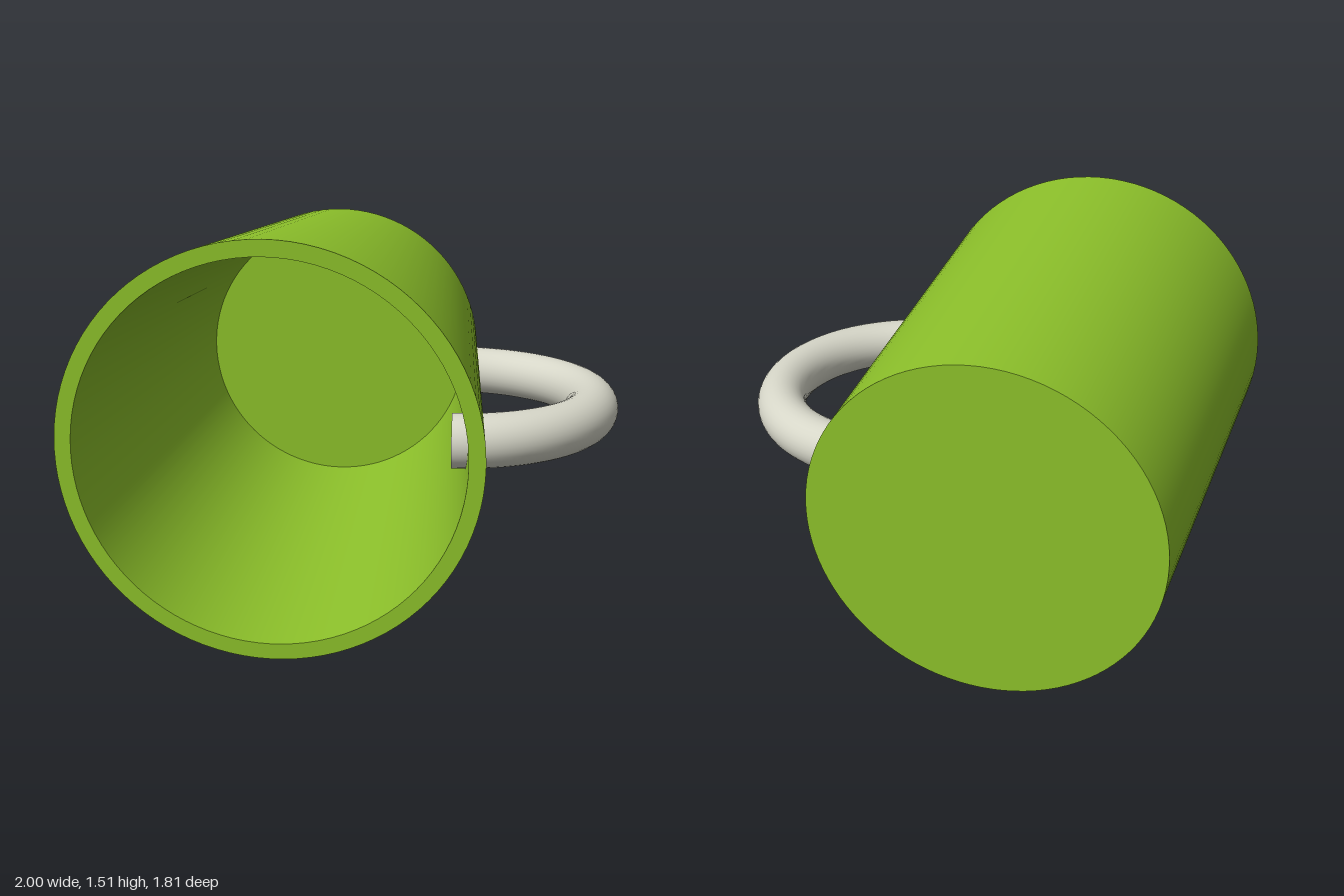
import * as THREE from 'three';
import { toCreasedNormals } from 'three/addons/utils/BufferGeometryUtils.js';

export function createModel() {
  const model = new THREE.Group();
  const green = new THREE.MeshStandardMaterial({ color: 0x8cc02a });
  const pale = new THREE.MeshStandardMaterial({ color: 0xd6d6c8 });
  const axisX = -0.247, axisY = 0.755;

  // Tapered hollow cup lying on its side, mouth to +z
  const profile = [
    [0, -0.905], [0.652, -0.905], [0.754, 0.905],
    [0.695, 0.905], [0.595, -0.82], [0, -0.82],
  ].map(([r, h]) => new THREE.Vector2(r, h));
  const cup = new THREE.Mesh(
    toCreasedNormals(new THREE.LatheGeometry(profile, 96), Math.PI / 5), green);
  cup.name = 'cup';
  cup.rotation.x = Math.PI / 2;
  cup.position.set(axisX, axisY, 0);
  model.add(cup);

  // Half-ring handle whose ends pass through the wall
  const R = 0.545, tube = 0.1, half = THREE.MathUtils.degToRad(88);
  const handle = new THREE.Group();
  handle.name = 'handle';
  const ring = new THREE.Mesh(new THREE.TorusGeometry(R, tube, 32, 64, half * 2), pale);
  ring.name = 'handleRing';
  ring.rotation.z = -half;
  handle.add(ring);

  // Flat caps closing both ends of the ring
  for (const side of [-1, 1]) {
    const cap = new THREE.Mesh(new THREE.CircleGeometry(tube, 32), pale);
    cap.name = 'handleEnd';
    const a = side * half;
    cap.position.set(R * Math.cos(a), R * Math.sin(a), 0);
    cap.quaternion.setFromUnitVectors(
      new THREE.Vector3(0, 0, 1),
      new THREE.Vector3(-Math.sin(a) * side, Math.cos(a) * side, 0));
    handle.add(cap);
  }
  handle.rotation.x = Math.PI / 2;
  handle.position.set(0.355, axisY, 0.075);
  model.add(handle);

  return model;
}
